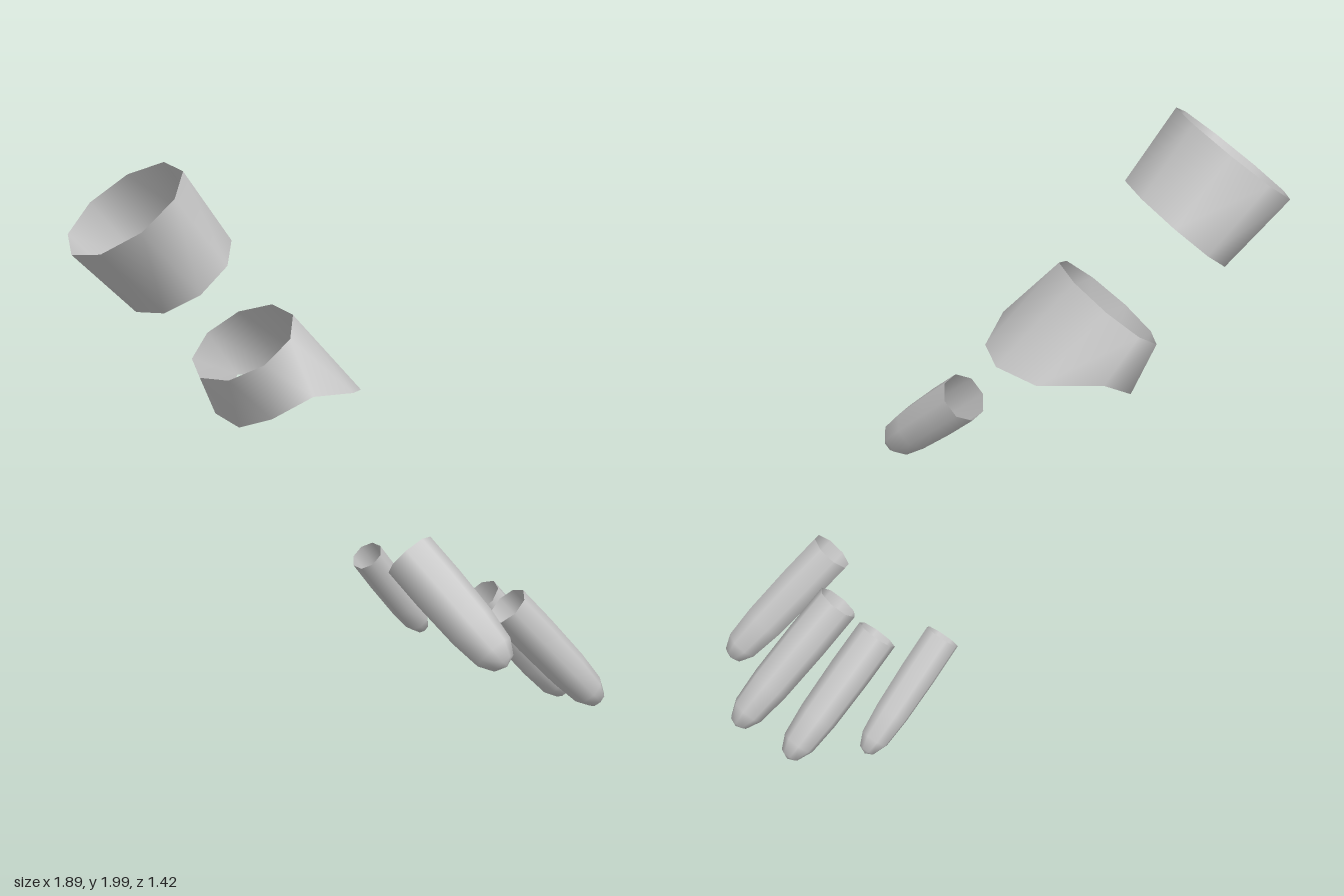
import * as THREE from 'three';

const material = new THREE.MeshStandardMaterial({ color: 0xcccccc, side: THREE.DoubleSide });
const SIDES = 9;

// Slanted elliptical loop: centre, in-plane half axis (u) and half depth along z
function loop([cx, cy, cz], [ux, uy], rz) {
  return Array.from({ length: SIDES }, (_, i) => {
    const t = -Math.PI / 2 + (i / SIDES) * Math.PI * 2;
    return [cx + ux * Math.cos(t), cy + uy * Math.cos(t), cz + rz * Math.sin(t)];
  });
}

// Open smooth sleeve between loops of equal point count
function sleeve(name, loops) {
  const index = [];
  for (let k = 0; k < loops.length - 1; k++) {
    for (let i = 0; i < SIDES; i++) {
      const a = k * SIDES + i, b = k * SIDES + ((i + 1) % SIDES);
      index.push(a, b, b + SIDES, a, b + SIDES, a + SIDES);
    }
  }
  const geo = new THREE.BufferGeometry();
  geo.setAttribute('position', new THREE.Float32BufferAttribute(loops.flat(2), 3));
  geo.setIndex(index);
  geo.computeVertexNormals();
  const mesh = new THREE.Mesh(geo, material);
  mesh.name = name;
  return mesh;
}

// Finger shell: open at the base, rounded at the tip
const fingerProfile = [[1, 0], [1.0, 0.3], [0.93, 0.65], [0.78, 0.87], [0.45, 0.97], [0, 1]];
function finger(name, base, tip, radius) {
  const a = new THREE.Vector3(...base), dir = new THREE.Vector3(...tip).sub(a);
  const length = dir.length();
  const points = fingerProfile.map(([r, h]) => new THREE.Vector2(r * radius, h * length));
  const mesh = new THREE.Mesh(new THREE.LatheGeometry(points, 8), material);
  mesh.name = name;
  mesh.position.copy(a);
  mesh.quaternion.setFromUnitVectors(new THREE.Vector3(0, 1, 0), dir.normalize());
  return mesh;
}

export function createModel() {
  const model = new THREE.Group();
  model.name = 'handArmourPieces';

  // Forearm band
  model.add(sleeve('forearmBand', [
    loop([-0.782, 1.86, -0.208], [0.167, 0.142], 0.263),
    loop([-0.588, 1.647, -0.208], [0.14, 0.126], 0.255),
  ]));

  // Wrist cuff, flaring to an uneven lower rim
  model.add(sleeve('wristCuff', [
    loop([-0.365, 1.402, -0.207], [0.138, 0.114], 0.256),
    [
      [-0.25, 1.25, -0.465], [-0.06, 1.235, -0.37], [0.018, 1.235, -0.21],
      [0, 1.235, -0.06], [-0.12, 1.257, 0.095], [-0.29, 1.265, 0.135],
      [-0.375, 1.18, 0.01], [-0.4, 1.127, -0.17], [-0.385, 1.142, -0.37],
    ],
  ]));

  // Thumb and fingers
  const digits = [
    ['thumb', [-0.085, 0.775, 0.39], [0.09, 0.453, 0.693], 0.088],
    ['indexFinger', [0.503, 0.457, 0.077], [0.865, 0.072, 0.125], 0.077],
    ['middleFinger', [0.56, 0.427, -0.178], [0.932, 0.016, -0.182], 0.074],
    ['ringFinger', [0.5, 0.442, -0.415], [0.835, 0.07, -0.475], 0.07],
    ['littleFinger', [0.338, 0.516, -0.595], [0.63, 0.183, -0.672], 0.06],
  ];
  for (const d of digits) model.add(finger(...d));

  return model;
}
